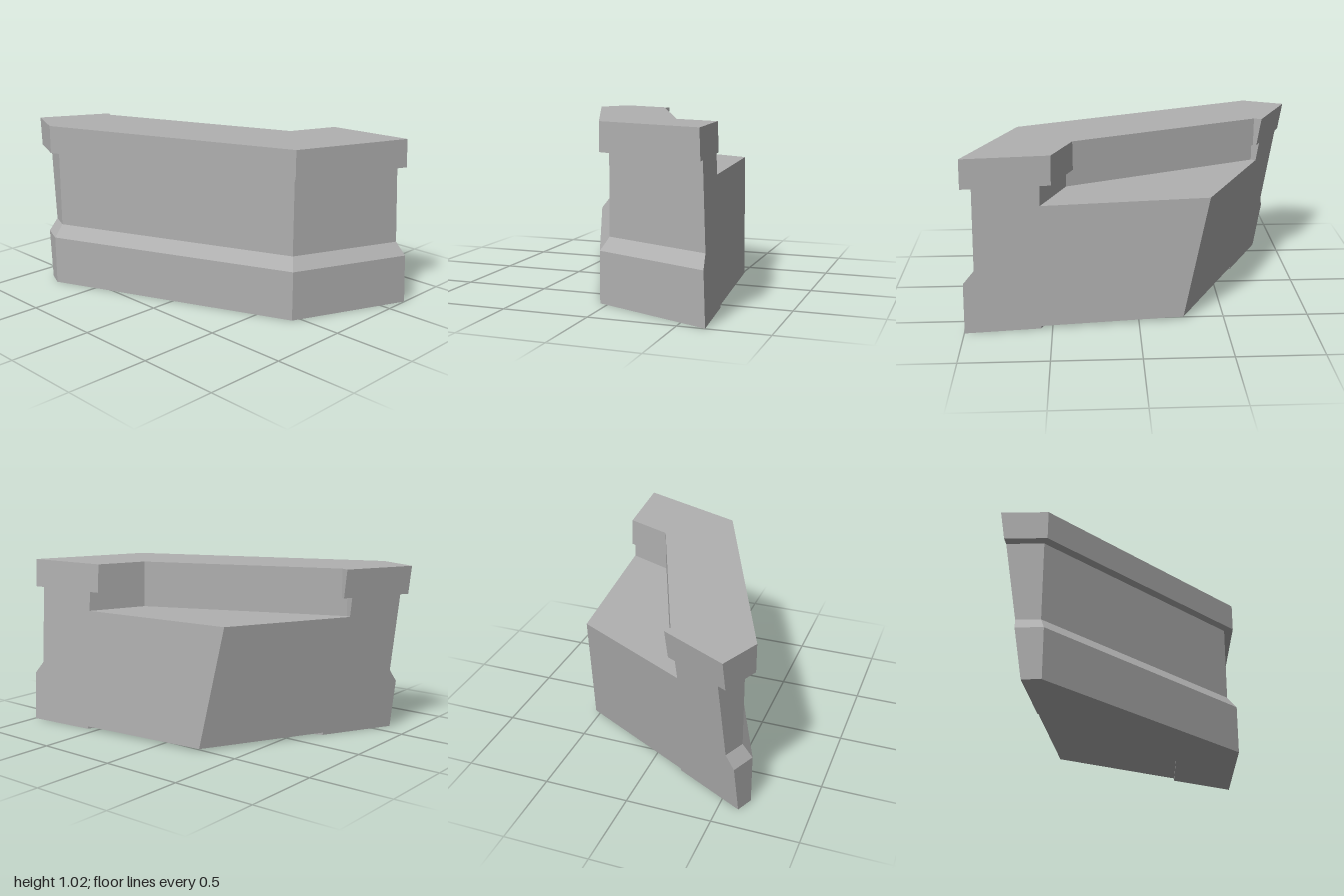
import * as THREE from 'three';

const stone = new THREE.MeshStandardMaterial({ color: 0xb0b0b0, flatShading: true });
stone.name = 'grey stone';

const TOP = 1.02, THICK = 0.438, INSET = 0.055;

// Plan of the outer wall face (x, z), left to right
const path = [[-1, 0.55], [-0.755, 0.655], [0.705, 0.05], [0.98, -0.61]];

// A plan line: point p and direction d
const line = (px, pz, dx, dz) => ({ px, pz, dx, dz });

function meet(a, b) {
  const t = ((b.px - a.px) * b.dz - (b.pz - a.pz) * b.dx) / (a.dx * b.dz - a.dz * b.dx);
  return [a.px + a.dx * t, a.pz + a.dz * t];
}

// Wall segment i moved inwards by inset
function segment(i, inset) {
  const [ax, az] = path[i], [bx, bz] = path[i + 1];
  const dx = bx - ax, dz = bz - az, l = Math.hypot(dx, dz);
  return line(ax + dz / l * inset, az - dx / l * inset, dx, dz);
}

// Sloping end planes, cut at height y
const leftEnd = y => line(-1 + (TOP - y) * 0.142, 0.55 + (TOP - y) * 0.061, 0.523, -1);
const backEnd = y => line(0.98 + (TOP - y) * 0.015, -0.61 - (TOP - y) * 0.042, 1, -0.1);

// The four corners of the wall line at a given inset and height
function corners(y, inset) {
  const s = [0, 1, 2].map(i => segment(i, inset));
  let start = meet(leftEnd(y), s[0]);
  let bend = meet(s[0], s[1]);
  // Where the end cut passes the first bend, the short segment vanishes
  if (start[0] > bend[0]) start = bend = meet(leftEnd(y), s[1]);
  return [start, bend, meet(s[1], s[2]), meet(s[2], backEnd(y))];
}

const wallRing = (y, outer, inner) => ({
  y, pts: [...corners(y, outer), ...corners(y, inner).reverse()]
});
const floorRing = y => ({
  y, pts: [...corners(y, THICK - INSET), meet(backEnd(y), leftEnd(y))]
});

// Closed solid through stacked rings, counter-clockwise from above
function loft(name, rings) {
  const pos = [], n = rings[0].pts.length;
  const put = (r, i) => pos.push(r.pts[i % n][0], r.y, r.pts[i % n][1]);
  for (let k = 0; k < rings.length - 1; k++) {
    const a = rings[k], b = rings[k + 1];
    for (let i = 0; i < n; i++) {
      put(a, i); put(a, i + 1); put(b, i + 1);
      put(a, i); put(b, i + 1); put(b, i);
    }
  }
  for (const [r, up] of [[rings[0], false], [rings[rings.length - 1], true]]) {
    const flat = r.pts.map(p => new THREE.Vector2(p[0], -p[1]));
    for (const [i, j, k] of THREE.ShapeUtils.triangulateShape(flat, [])) {
      put(r, i); put(r, up ? j : k); put(r, up ? k : j);
    }
  }
  const g = new THREE.BufferGeometry();
  g.setAttribute('position', new THREE.Float32BufferAttribute(pos, 3));
  g.computeVertexNormals();
  const mesh = new THREE.Mesh(g, stone);
  mesh.name = name;
  return mesh;
}

export function createModel() {
  const group = new THREE.Group();
  group.name = 'parapetWall';
  const inner = THICK - INSET;

  // Wall with flared plinth
  group.add(loft('wallWithPlinth', [
    wallRing(0, 0, inner),
    wallRing(0.3, 0, inner),
    wallRing(0.375, INSET, inner),
    wallRing(0.735, INSET, inner),
    wallRing(0.85, INSET, inner)
  ]));

  // Overhanging coping
  group.add(loft('coping', [wallRing(0.85, 0, THICK), wallRing(TOP, 0, THICK)]));

  // Walkway block behind the wall
  group.add(loft('walkway', [0.015, 0.3, 0.375, 0.735].map(floorRing)));
  return group;
}
